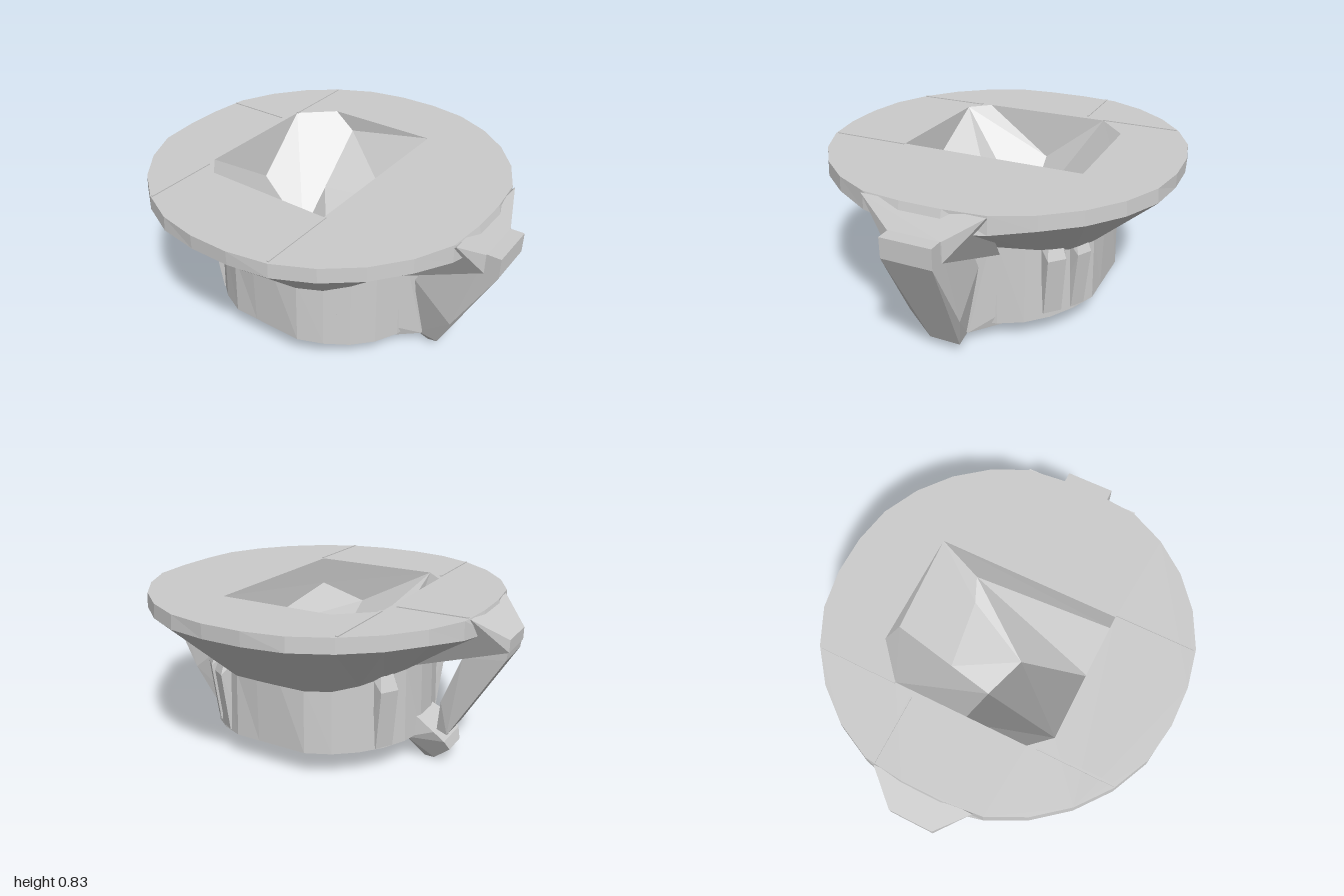
import * as THREE from 'three';
import { ConvexGeometry } from 'three/addons/geometries/ConvexGeometry.js';

const material = new THREE.MeshStandardMaterial({ color: 0xcccccc, flatShading: true, side: THREE.DoubleSide });

function add(group, name, geometry) {
  const mesh = new THREE.Mesh(geometry, material);
  mesh.name = name;
  group.add(mesh);
  return mesh;
}

// Convex solid around a few points
const hull = (pts) => new ConvexGeometry(pts.map((p) => new THREE.Vector3(...p)));

// Profile points [x, y, half depth] mirrored across z
const slab = (pts) => hull(pts.flatMap(([x, y, d]) => [[x, y, d], [x, y, -d]]));

// Flat-sided faces fanned from loops of points
function faces(polys) {
  const v = [];
  for (const p of polys)
    for (let i = 1; i < p.length - 1; i++) v.push(...p[0], ...p[i], ...p[i + 1]);
  const g = new THREE.BufferGeometry();
  g.setAttribute('position', new THREE.Float32BufferAttribute(v, 3));
  g.computeVertexNormals();
  return g;
}

// Skin over stacked rings
function loft(rings) {
  const polys = [];
  for (let r = 0; r < rings.length - 1; r++) {
    const a = rings[r], b = rings[r + 1], n = a.length;
    for (let i = 0; i < n; i++) {
      const j = (i + 1) % n;
      polys.push([a[i], b[i], b[j]], [a[i], b[j], a[j]]);
    }
  }
  return faces(polys);
}

// Ring clipped to flat ends, height given by a rule
function ring(radius, maxX, maxZ, height, n = 28) {
  return Array.from({ length: n }, (_, i) => {
    const a = -((i + 0.5) / n) * Math.PI * 2;
    const x = THREE.MathUtils.clamp(radius * Math.cos(a), -maxX, maxX);
    const z = THREE.MathUtils.clamp(radius * Math.sin(a), -maxZ, maxZ);
    return [x, height(x, z), z];
  });
}

export function createModel() {
  const group = new THREE.Group();
  const top = 0.835;
  const smooth = THREE.MathUtils.smoothstep;

  // Rim plate with the square-cut opening
  const rimTop = ring(0.9, 0.87, 0.885, () => top);
  const opening = [[-0.48, -0.35], [-0.48, 0.33], [-0.39, 0.43], [0.28, 0.44], [0.28, -0.5], [-0.31, -0.5]];
  const plate = new THREE.Shape(rimTop.map(([x, , z]) => new THREE.Vector2(x, -z)));
  plate.holes.push(new THREE.Path(opening.map(([x, z]) => new THREE.Vector2(x, -z))));
  const plateGeometry = new THREE.ShapeGeometry(plate);
  plateGeometry.rotateX(-Math.PI / 2).translate(0, top, 0);
  add(group, 'rimPlate', plateGeometry);

  // Rim edge and the flared underside
  const neckY = (x) => 0.46 + 0.06 * smooth(Math.abs(x), 0.3, 0.57);
  add(group, 'flare', loft([
    rimTop,
    ring(0.905, 0.91, 0.885, (x) => 0.765 - 0.03 * smooth(Math.abs(x), 0.8, 0.9)),
    ring(0.575, 0.57, 0.55, neckY),
  ]));

  // Drum body with its sloping base
  const baseY = (x) => 0.125 - 0.04 * smooth(x, 0.2, 0.6);
  const foot = ring(0.585, 0.58, 0.55, (x) => baseY(x) + 0.02);
  const base = ring(0.54, 0.56, 0.5, baseY);
  add(group, 'drum', loft([ring(0.575, 0.57, 0.555, (x) => neckY(x) + 0.02), foot, base]));
  add(group, 'drumBase', loft([base, base.map(() => [0, 0.115, 0])]));

  // Sloping faces inside the opening
  const [A, G, F, E, D, B] = opening.map(([x, z]) => [x, top, z]);
  const C = [-0.2, 0.745, -0.5], M = [-0.46, 0.58, -0.03], P = [-0.2, 0.31, -0.02];
  const Q = [-0.2, 0.5, -0.23], R = [0.17, 0.52, -0.28], S = [0.02, 0.38, 0.07];
  const E2 = [0.28, 0.69, 0.44], D2 = [0.275, 0.6, -0.32], T = [0.02, 0.62, 0.435];
  add(group, 'basin', faces([
    [A, M, P], [A, P, C, B], [A, G, M],
    [B, C, D], [C, Q, R], [C, R, D], [D, R, D2],
    [D, D2, E2, E], [E, E2, F], [E2, T, F],
    [D2, R, S], [D2, S, T, E2],
    [F, T, S], [F, S, P], [F, P, M], [F, M, G],
    [Q, P, S, R],
  ]));

  // Pointed foot under the drum
  add(group, 'bottomFoot', hull([
    [-0.24, 0.115, 0], [0.19, 0.115, 0], [0, 0.115, 0.22], [0, 0.115, -0.24],
    [-0.08, 0.025, 0], [0.1, 0.025, 0], [0.06, 0.025, 0.07], [0.06, 0.025, -0.07], [-0.05, 0.025, -0.06],
  ]));

  // Left solid arm and the underside wedge it hangs from
  add(group, 'leftArm', slab([
    [0.93, 0.72, 0.125], [1, 0.72, 0.125], [1, 0.62, 0.125], [0.93, 0.62, 0.125], [0.64, 0.52, 0.12],
    [0.59, 0.42, 0.12], [0.8, 0.25, 0.13], [0.72, 0.06, 0.08], [0.65, 0.01, 0.04], [0.6, 0.05, 0.06],
  ]));
  add(group, 'leftWedge', slab([
    [0.86, 0.83, 0.3], [0.93, 0.72, 0.13], [0.93, 0.62, 0.13], [0.57, 0.5, 0.22],
  ]));
  add(group, 'leftBaseFlare', slab([
    [0.27, 0.13, 0.48], [0.36, 0.32, 0.45], [0.57, 0.5, 0.16], [0.63, 0.07, 0.08], [0.4, 0.1, 0.3],
  ]));

  // Right open arm, shoulder and foot
  add(group, 'rightShoulder', slab([
    [-0.86, 0.83, 0.25], [-1, 0.72, 0.11], [-1, 0.66, 0.11], [-0.79, 0.6, 0.12], [-0.57, 0.54, 0.18],
  ]));
  add(group, 'rightArm', slab([
    [-1, 0.72, 0.11], [-0.99, 0.62, 0.11], [-0.73, 0.18, 0.1], [-0.67, 0.19, 0.08],
    [-0.69, 0.35, 0.1], [-0.79, 0.6, 0.12],
  ]));
  add(group, 'rightFoot', slab([
    [-0.74, 0.09, 0.07], [-0.72, 0.14, 0.1], [-0.67, 0.19, 0.12], [-0.56, 0.25, 0.1],
    [-0.53, 0.13, 0.12], [-0.6, 0.01, 0.04], [-0.65, 0.01, 0.04],
  ]));

  // Upright ribs on the drum
  for (const [angle, width] of [[133, 0.1], [150, 0.14], [-60, 0.12], [-46, 0.14], [-148, 0.14]]) {
    const rib = add(group, 'rib', hull([-1, 1].flatMap((s) => [
      [0.5, 0.13, s * width / 2], [0.585, 0.15, s * width / 3],
      [0.62, 0.45, s * width / 3], [0.58, 0.56, s * width / 5], [0.5, 0.56, s * width / 2],
    ])));
    rib.rotation.y = -THREE.MathUtils.degToRad(angle);
  }

  // Thin raised seams across the rim
  for (const [x, z, w, d] of [[-0.48, -0.55, 0.012, 0.4], [-0.47, 0.57, 0.012, 0.38],
    [0.29, 0.64, 0.008, 0.4], [-0.68, -0.25, 0.34, 0.01]]) {
    add(group, 'rimSeam', new THREE.BoxGeometry(w, 0.01, d)).position.set(x, top, z);
  }
  return group;
}
